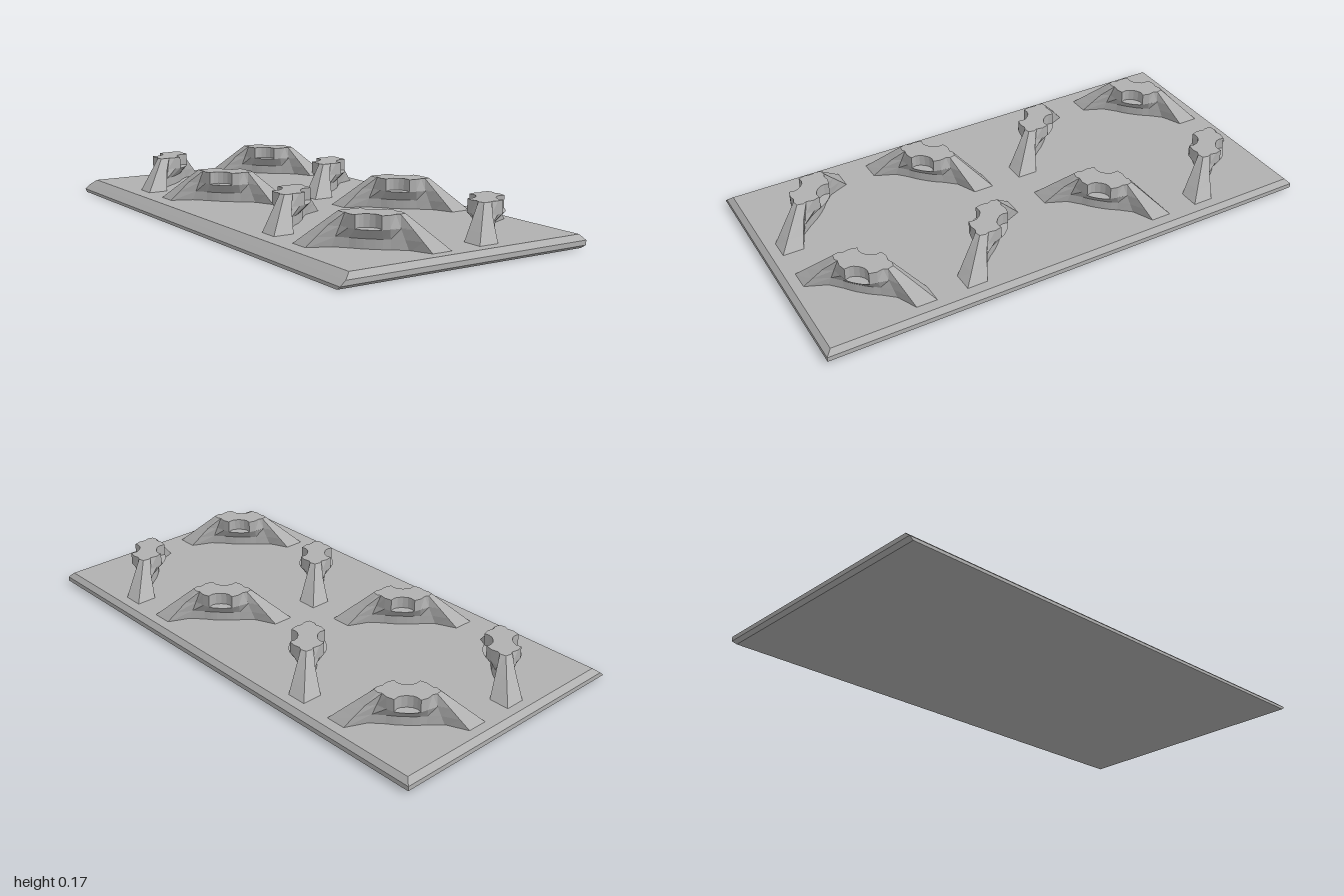
import * as THREE from 'three';

// Skins a stack of loops (each a list of [x, y, z], running from +x towards +z) and caps both ends.
function loft(loops) {
  const pos = [];
  const tri = (...pts) => pts.forEach((p) => pos.push(...p));
  const n = loops[0].length;
  const centre = (loop) => [0, 1, 2].map((k) => loop.reduce((s, p) => s + p[k], 0) / n);
  for (let l = 0; l < loops.length - 1; l++) {
    const lo = loops[l], hi = loops[l + 1];
    for (let i = 0; i < n; i++) {
      const j = (i + 1) % n;
      tri(lo[i], hi[i], lo[j]);
      tri(lo[j], hi[i], hi[j]);
    }
  }
  const bottom = loops[0], top = loops[loops.length - 1];
  const cb = centre(bottom), ct = centre(top);
  for (let i = 0; i < n; i++) {
    const j = (i + 1) % n;
    tri(cb, bottom[i], bottom[j]);
    tri(ct, top[j], top[i]);
  }
  const g = new THREE.BufferGeometry();
  g.setAttribute('position', new THREE.Float32BufferAttribute(pos, 3));
  g.computeVertexNormals();
  return g;
}

// Rectangular plate with bevelled rims; the -x edge has one long slope.
function plateGeometry() {
  const rect = (y, x0, x1, z) => [[x1, y, -z], [x1, y, z], [x0, y, z], [x0, y, -z]];
  return loft([
    rect(0, -0.522, 0.51, 0.985),
    rect(0.012, -0.522, 0.522, 1),
    rect(0.03, -0.5, 0.522, 1),
    rect(0.05, -0.475, 0.505, 0.98),
  ]);
}

// Ridge along x: pointed sloping ends, narrow waists, an overhanging notched head.
function ridgeGeometry() {
  // height, then half widths of the head at u = 0.07, 0.045, 0.034, 0.02 and 0
  const levels = [
    [0.045, 0.028, 0.032, 0.033, 0.034, 0.034],
    [0.085, 0.028, 0.032, 0.033, 0.034, 0.034],
    [0.122, 0.047, 0.062, 0.066, 0.069, 0.07],
    [0.124, 0.047, 0.062, 0.046, 0.038, 0.035],
    [0.17, 0.047, 0.062, 0.046, 0.038, 0.035],
  ];
  const loops = levels.map(([y, ...head]) => {
    const t = (y - 0.05) / 0.12;
    const mix = (a, b) => a + (b - a) * t;
    const quarter = [
      [mix(0.269, 0.113), 0],
      [mix(0.212, 0.1), mix(0.057, 0.02)],
      [mix(0.13, 0.085), 0.025],
      ...[0.07, 0.045, 0.034, 0.02, 0].map((u, i) => [u, head[i]]),
    ];
    const half = [...quarter, ...quarter.slice(0, -1).reverse().map(([u, v]) => [-u, v])];
    const full = [...half, ...half.slice(1, -1).reverse().map(([u, v]) => [u, -v])];
    return full.map(([u, v]) => [u, y, v]);
  });
  return loft(loops);
}

export function createModel() {
  const group = new THREE.Group();
  const grey = new THREE.MeshStandardMaterial({ color: 0xb0b0b0 });
  grey.name = 'grey';

  const plate = new THREE.Mesh(plateGeometry(), grey);
  plate.name = 'basePlate';
  group.add(plate);

  // Four rows of two ridges with alternating diagonals
  const ridge = ridgeGeometry();
  for (let row = 0; row < 4; row++) {
    for (let col = 0; col < 2; col++) {
      const m = new THREE.Mesh(ridge, grey);
      m.name = `ridge${row * 2 + col + 1}`;
      m.position.set(-0.225 + col * 0.5, 0, -0.753 + row * 0.501);
      m.rotation.y = ((row + col) % 2 ? -1 : 1) * Math.PI / 4;
      group.add(m);
    }
  }
  return group;
}
